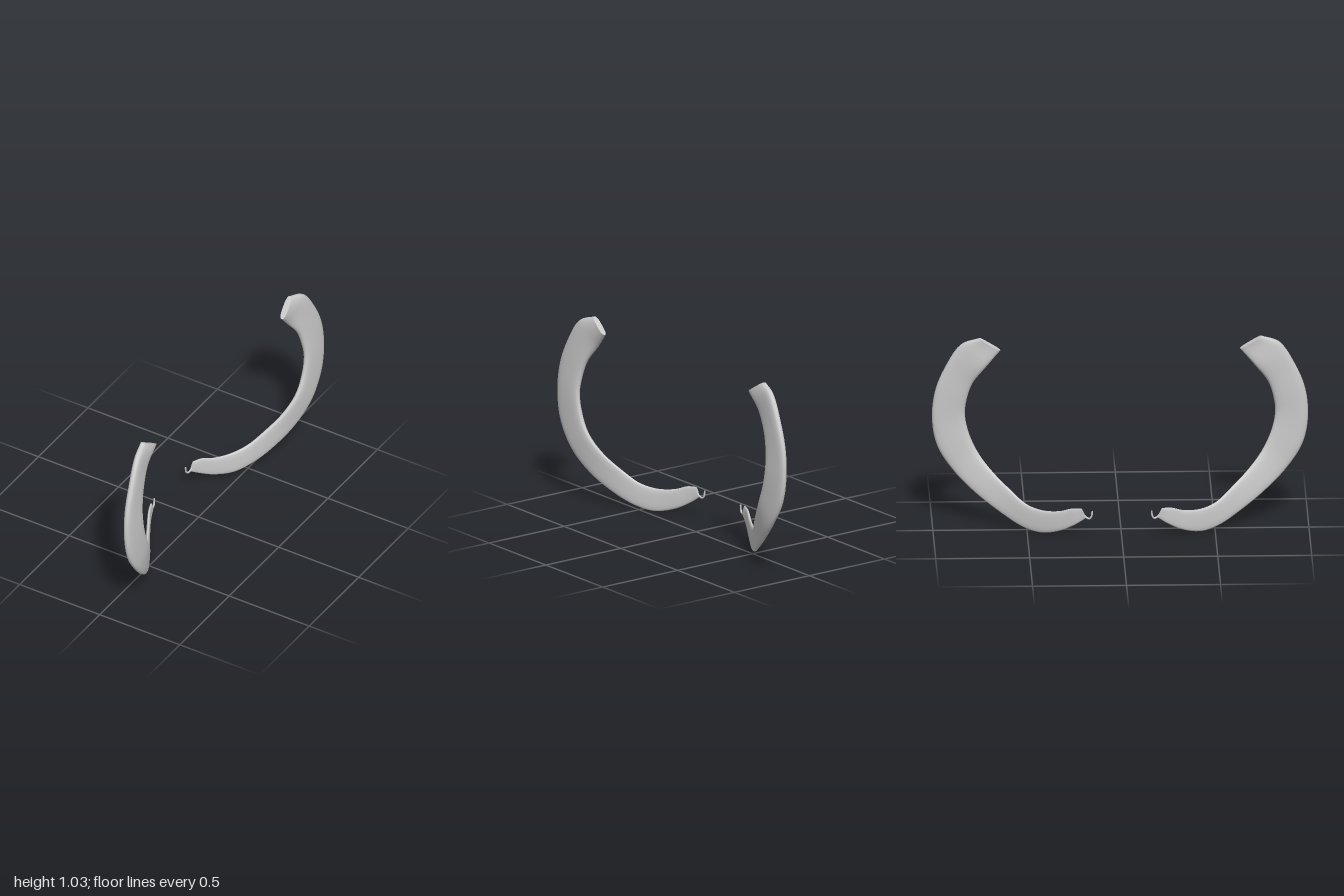
import * as THREE from 'three';

// Stations from the upper tip to the lower end:
// outer edge x, y, z | inner edge x, y, z | half thickness
const STATIONS = [
  [0.108, 1.038, 0.75, 0.126, 0.965, 0.637, 0.018],
  [0.132, 1.0, 0.845, 0.114, 0.875, 0.715, 0.023],
  [0.147, 0.87, 0.93, 0.133, 0.78, 0.785, 0.022],
  [0.155, 0.73, 0.985, 0.145, 0.69, 0.815, 0.022],
  [0.16, 0.57, 1.0, 0.155, 0.605, 0.825, 0.021],
  [0.162, 0.42, 0.97, 0.155, 0.5, 0.805, 0.02],
  [0.157, 0.28, 0.88, 0.145, 0.39, 0.755, 0.018],
  [0.122, 0.165, 0.76, 0.108, 0.295, 0.68, 0.015],
  [0.058, 0.07, 0.62, 0.047, 0.21, 0.585, 0.013],
  [0.0, 0.02, 0.52, -0.008, 0.15, 0.505, 0.012],
  [-0.052, 0.004, 0.43, -0.06, 0.13, 0.42, 0.011],
  [-0.11, 0.03, 0.33, -0.11, 0.14, 0.33, 0.01],
  [-0.149, 0.075, 0.25, -0.145, 0.165, 0.265, 0.008],
  [-0.168, 0.118, 0.19, -0.165, 0.17, 0.215, 0.006],
];
const RINGS = 64, SIDES = 20;

// Flat rounded blade swept between its outer and inner edge curves
function bladeGeometry(side) {
  const edge = (k) => new THREE.CatmullRomCurve3(
    STATIONS.map((s) => new THREE.Vector3(s[k], s[k + 1], s[k + 2] * side)));
  const outer = edge(0), inner = edge(3);
  const thickness = new THREE.CatmullRomCurve3(
    STATIONS.map((s, i) => new THREE.Vector3(i, s[6], 0)));
  const centre = (t) => outer.getPoint(t).add(inner.getPoint(t)).multiplyScalar(0.5);
  const power = (v) => Math.sign(v) * Math.pow(Math.abs(v), 0.7);

  const pos = [], index = [];
  const ring = (t) => {
    const c = centre(t);
    const w = outer.getPoint(t).sub(c);
    const along = centre(Math.min(t + 0.01, 1)).sub(centre(Math.max(t - 0.01, 0)));
    const n = along.cross(w).normalize().multiplyScalar(thickness.getPoint(t).y);
    for (let j = 0; j < SIDES; j++) {
      const a = (j / SIDES) * Math.PI * 2;
      const p = c.clone().addScaledVector(w, power(Math.cos(a))).addScaledVector(n, power(Math.sin(a)));
      pos.push(p.x, p.y, p.z);
    }
  };
  for (let i = 0; i <= RINGS; i++) ring(i / RINGS);
  for (let i = 0; i < RINGS; i++) {
    for (let j = 0; j < SIDES; j++) {
      const k = (j + 1) % SIDES;
      const a = i * SIDES + j, b = i * SIDES + k;
      index.push(a, b, a + SIDES, b, b + SIDES, a + SIDES);
    }
  }
  // Flat end faces with their own vertices, so the rims stay sharp
  for (const t of [0, 1]) {
    const start = pos.length / 3;
    ring(t);
    const c = centre(t);
    pos.push(c.x, c.y, c.z);
    for (let j = 0; j < SIDES; j++) {
      const a = start + j, b = start + ((j + 1) % SIDES);
      index.push(start + SIDES, t ? a : b, t ? b : a);
    }
  }
  const g = new THREE.BufferGeometry();
  g.setAttribute('position', new THREE.Float32BufferAttribute(pos, 3));
  g.setIndex(index);
  g.computeVertexNormals();
  return g;
}

// Small upturned catch at the lower end
function catchGeometry(side) {
  const path = new THREE.CatmullRomCurve3([
    [-0.164, 0.138, 0.205], [-0.17, 0.121, 0.187], [-0.175, 0.117, 0.173],
    [-0.178, 0.13, 0.162], [-0.179, 0.159, 0.158],
  ].map(([x, y, z]) => new THREE.Vector3(x, y, z * side)));
  return new THREE.TubeGeometry(path, 20, 0.005, 8);
}

export function createModel() {
  const model = new THREE.Group();
  model.name = 'curvedBandPair';
  const material = new THREE.MeshStandardMaterial({ color: 0xcccccc, side: THREE.DoubleSide });
  for (const [name, side] of [['front', 1], ['back', -1]]) {
    const half = new THREE.Group();
    half.name = name + 'Band';
    const blade = new THREE.Mesh(bladeGeometry(side), material);
    blade.name = name + 'Blade';
    const hook = new THREE.Mesh(catchGeometry(side), material);
    hook.name = name + 'Catch';
    half.add(blade, hook);
    model.add(half);
  }
  return model;
}
